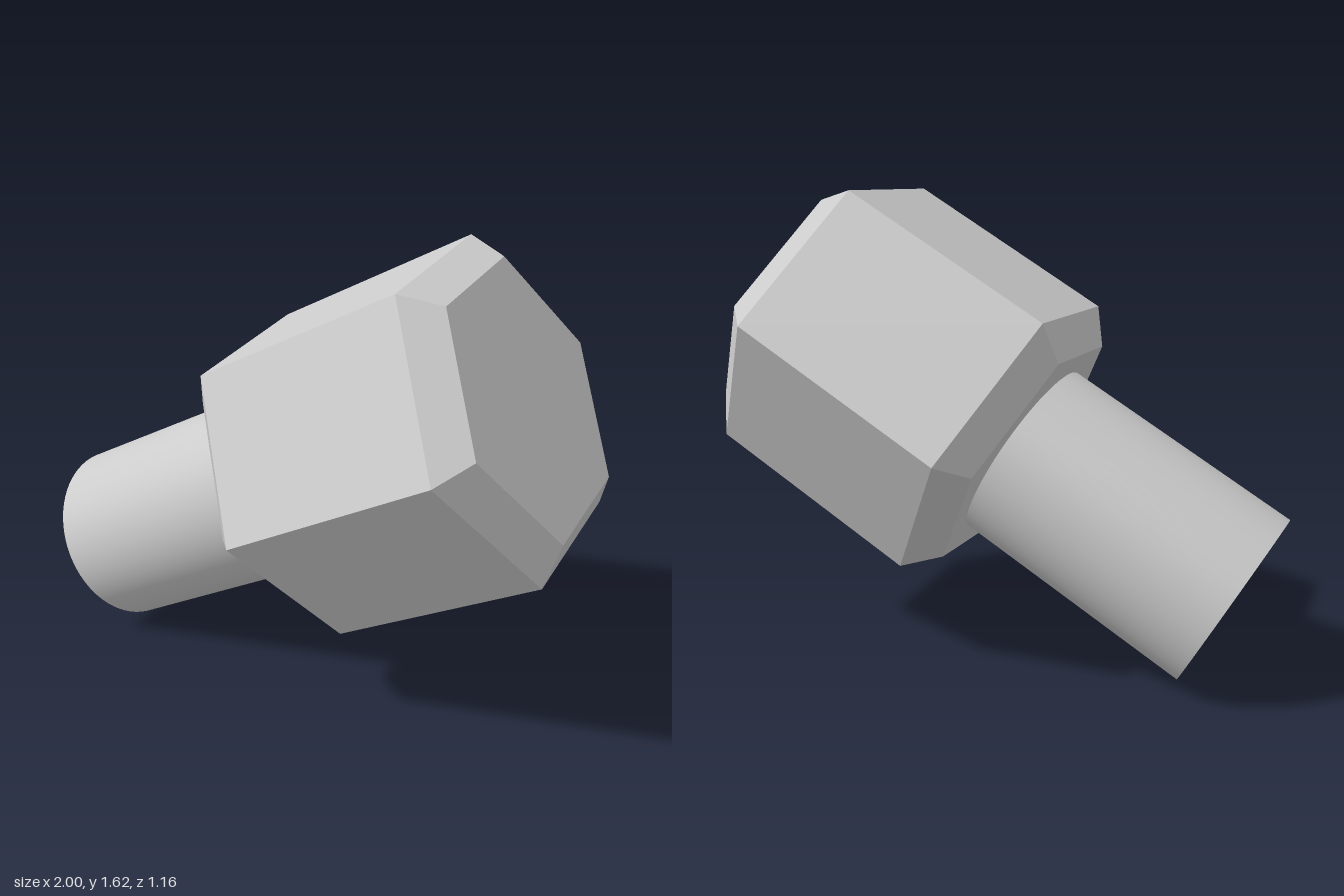
import * as THREE from 'three';

export function createModel() {
  const model = new THREE.Group();
  model.name = 'hexHeadBolt';

  // Everything is built along local y, then tilted 30 degrees above the x axis
  const bolt = new THREE.Group();
  bolt.name = 'bolt';
  bolt.rotation.z = -Math.PI / 3;
  bolt.position.set(-0.333, 0.576, 0);
  model.add(bolt);

  // Six-sided head with a chamfer at both ends
  const profile = [[0, 0.297], [0.466, 0.297], [0.58, 0.397], [0.58, 1.197], [0.466, 1.297], [0, 1.297]]
    .map(([r, y]) => new THREE.Vector2(r, y));
  const headGeometry = new THREE.LatheGeometry(profile, 6, 0.05).toNonIndexed();
  headGeometry.computeVertexNormals();
  const head = new THREE.Mesh(
    headGeometry,
    new THREE.MeshStandardMaterial({ color: 0xcccccc, flatShading: true })
  );
  head.name = 'head';
  bolt.add(head);

  // Smooth round shank, seated just inside the head
  const bottom = -0.582, top = 0.3;
  const shank = new THREE.Mesh(
    new THREE.CylinderGeometry(0.327, 0.327, top - bottom, 72),
    new THREE.MeshStandardMaterial({ color: 0xcccccc })
  );
  shank.name = 'shank';
  shank.position.y = (top + bottom) / 2;
  bolt.add(shank);

  return model;
}
